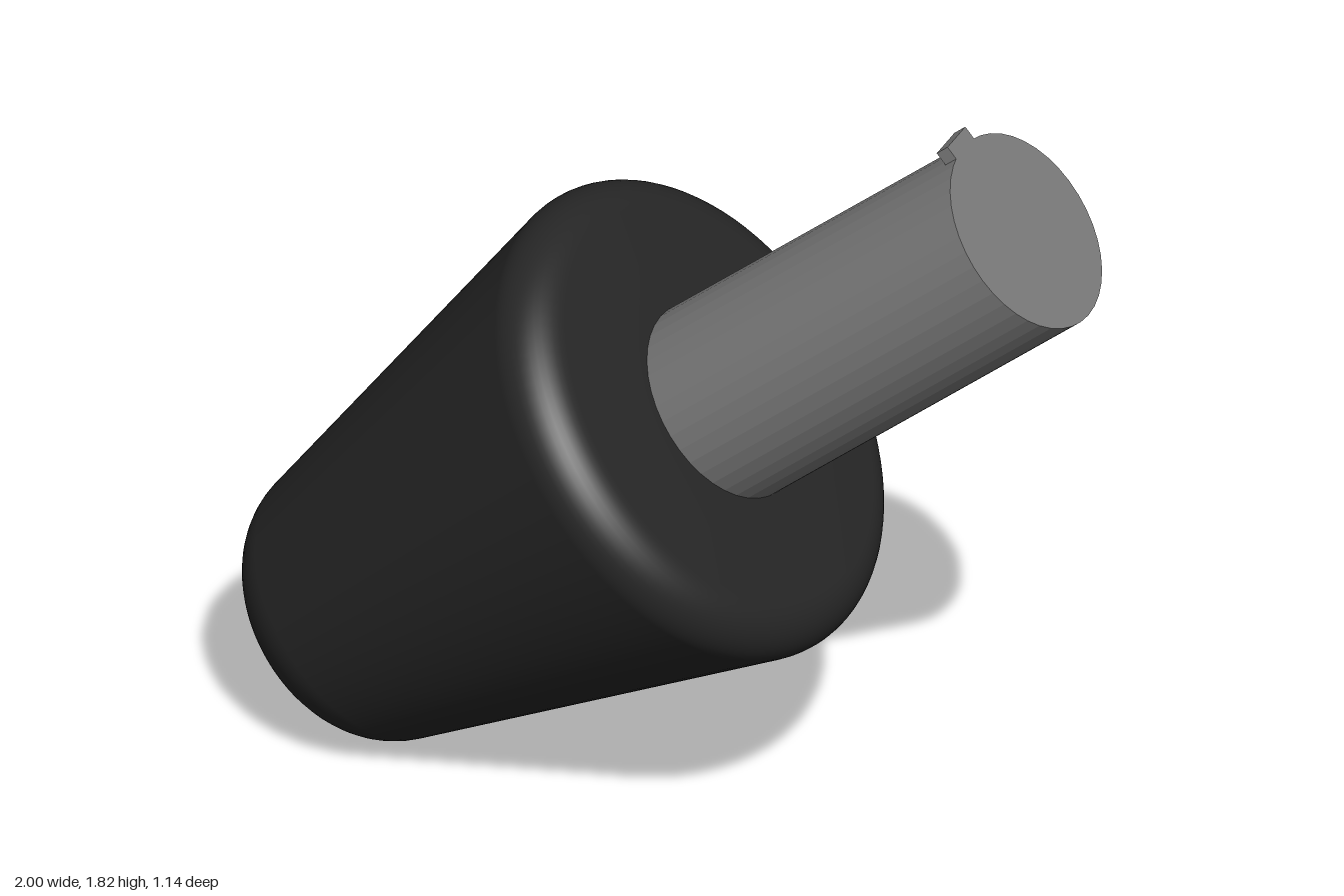
import * as THREE from 'three';

// Points of a fillet arc in the lathe profile, angles measured from +r towards +axis
function arc(r, y, radius, fromDeg, toDeg, steps) {
  const pts = [];
  for (let i = 0; i <= steps; i++) {
    const a = THREE.MathUtils.degToRad(fromDeg + ((toDeg - fromDeg) * i) / steps);
    pts.push(new THREE.Vector2(r + radius * Math.cos(a), y + radius * Math.sin(a)));
  }
  return pts;
}

export function createModel() {
  const model = new THREE.Group();
  model.name = 'bumper';

  const black = new THREE.MeshStandardMaterial({ color: 0x262626 });
  const grey = new THREE.MeshStandardMaterial({ color: 0x7a7a7a, flatShading: true });

  // Everything is built along a local y axis, then tilted
  const axis = new THREE.Group();
  axis.name = 'tiltedAxis';
  axis.rotation.z = THREE.MathUtils.degToRad(-50);
  axis.position.set(-0.447, 0.533, 0);
  model.add(axis);

  // Tapered rubber head with rounded nose and rim
  const profile = [
    new THREE.Vector2(0, -0.56),
    ...arc(0.132, -0.355, 0.202, -90, -13.4, 12),
    ...arc(0.467, 0.618, 0.102, -13.4, 86, 12),
    new THREE.Vector2(0.35, 0.729),
    new THREE.Vector2(0.23, 0.734),
    new THREE.Vector2(0, 0.735),
  ];
  const head = new THREE.Mesh(new THREE.LatheGeometry(profile, 96), black);
  head.name = 'head';
  axis.add(head);

  // Faceted shaft, rooted slightly inside the head
  const bottom = 0.7, top = 1.687;
  const shaft = new THREE.Mesh(new THREE.CylinderGeometry(0.234, 0.234, top - bottom, 40), grey);
  shaft.name = 'shaft';
  shaft.position.y = (top + bottom) / 2;
  axis.add(shaft);

  // Small key flush with the shaft end
  const key = new THREE.Mesh(new THREE.BoxGeometry(0.05, 0.034, 0.096), grey);
  key.name = 'key';
  key.position.set(-0.236, top - 0.017, 0);
  axis.add(key);

  return model;
}
